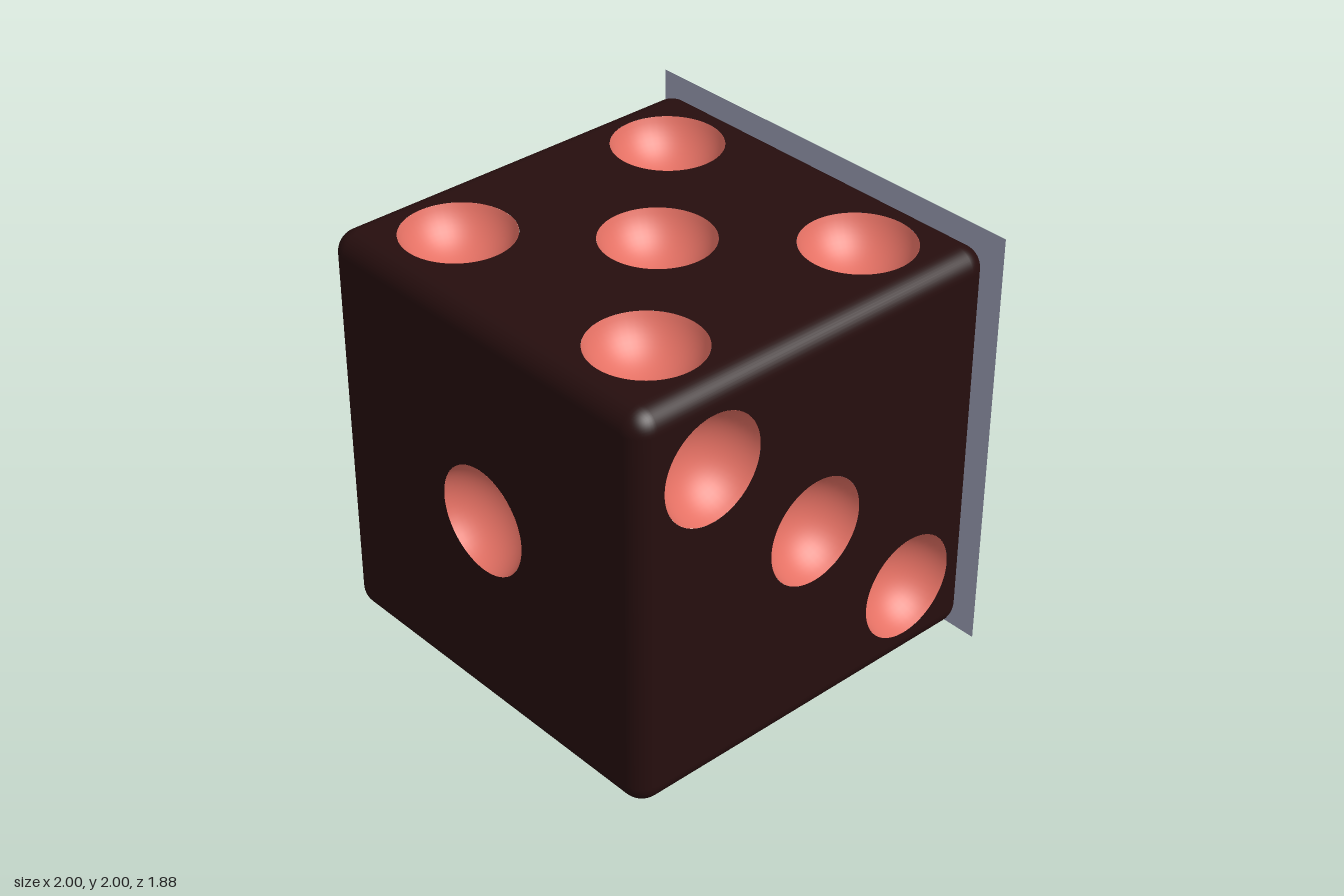
import * as THREE from 'three';
import { RoundedBoxGeometry } from 'three/addons/geometries/RoundedBoxGeometry.js';

const HALF = 0.94, EDGE = 0.1, PIP = 0.245, DEPTH = 0.18, STEP = 0.565;

// Rounded edges and corners only: the flat faces are removed and rebuilt with holes
function roundedFrame() {
  const box = new RoundedBoxGeometry(2 * HALF, 2 * HALF, 2 * HALF, 6, EDGE);
  const source = box.index ? box.toNonIndexed() : box;
  const p = source.attributes.position.array, n = source.attributes.normal.array;
  const positions = [], normals = [];
  for (let i = 0; i < p.length; i += 9) {
    const flat = [0, 1, 2].some((axis) =>
      [0, 3, 6].every((v) => Math.abs(p[i + v + axis]) > HALF - 1e-4));
    if (flat) continue;
    positions.push(...p.slice(i, i + 9));
    normals.push(...n.slice(i, i + 9));
  }
  const geometry = new THREE.BufferGeometry();
  geometry.setAttribute('position', new THREE.Float32BufferAttribute(positions, 3));
  geometry.setAttribute('normal', new THREE.Float32BufferAttribute(normals, 3));
  return geometry;
}

// Flat square with a round hole for every pip
function faceGeometry(pips) {
  const s = HALF - EDGE;
  const shape = new THREE.Shape([
    new THREE.Vector2(-s, -s), new THREE.Vector2(s, -s),
    new THREE.Vector2(s, s), new THREE.Vector2(-s, s),
  ]);
  for (const [x, y] of pips) {
    shape.holes.push(new THREE.Path().absarc(x, y, PIP, 0, Math.PI * 2, true));
  }
  return new THREE.ShapeGeometry(shape, 48);
}

// Hollow spherical cap, rim at z = 0 and opening towards +z
function pipGeometry() {
  const radius = (PIP * PIP + DEPTH * DEPTH) / (2 * DEPTH);
  const rimAngle = Math.asin(PIP / radius);
  const profile = [];
  for (let i = 0; i <= 14; i++) {
    const a = rimAngle * (1 - i / 14);
    profile.push(new THREE.Vector2(radius * Math.sin(a), radius - DEPTH - radius * Math.cos(a)));
  }
  return new THREE.LatheGeometry(profile, 48).rotateX(Math.PI / 2);
}

export function createModel() {
  const bodyMaterial = new THREE.MeshStandardMaterial({ color: 0x260e0e });
  bodyMaterial.name = 'dark brown';
  const pipMaterial = new THREE.MeshStandardMaterial({ color: 0xe57164, side: THREE.DoubleSide });
  pipMaterial.name = 'coral';
  const panelMaterial = new THREE.MeshStandardMaterial({ color: 0xa0a4ba, side: THREE.DoubleSide });
  panelMaterial.name = 'blue grey';

  const model = new THREE.Group();
  model.name = 'dieWithBackPanel';

  const die = new THREE.Group();
  die.name = 'die';
  die.position.set(-0.005, 1, 0);
  model.add(die);

  const frame = new THREE.Mesh(roundedFrame(), bodyMaterial);
  frame.name = 'roundedEdges';
  die.add(frame);

  // Pip layouts in each face's own x, y
  const a = STEP, q = Math.PI / 2;
  const corners = [[-a, -a], [a, -a], [a, a], [-a, a]];
  const faces = [
    ['front', 0, 0, [[0, 0]]],
    ['right', 0, q, [[-a, a], [0, 0], [a, -a]]],
    ['left', 0, -q, corners],
    ['back', 0, 2 * q, [...corners, [-a, 0], [a, 0]]],
    ['top', -q, 0, [...corners, [0, 0]]],
    ['bottom', q, 0, [[a, -a], [-a, a]]],
  ];
  const bowl = pipGeometry();
  for (const [name, rx, ry, pips] of faces) {
    const side = new THREE.Group();
    side.name = name + 'Side';
    side.rotation.set(rx, ry, 0);
    const face = new THREE.Mesh(faceGeometry(pips), bodyMaterial);
    face.name = name + 'Face';
    face.position.z = HALF;
    side.add(face);
    for (const [x, y] of pips) {
      const pip = new THREE.Mesh(bowl, pipMaterial);
      pip.name = name + 'Pip';
      pip.position.set(x, y, HALF);
      side.add(pip);
    }
    die.add(side);
  }

  // Thin square panel against the back
  const panel = new THREE.Mesh(new THREE.PlaneGeometry(2, 2), panelMaterial);
  panel.name = 'backPanel';
  panel.position.set(0, 1, -HALF - 0.002);
  model.add(panel);

  return model;
}
